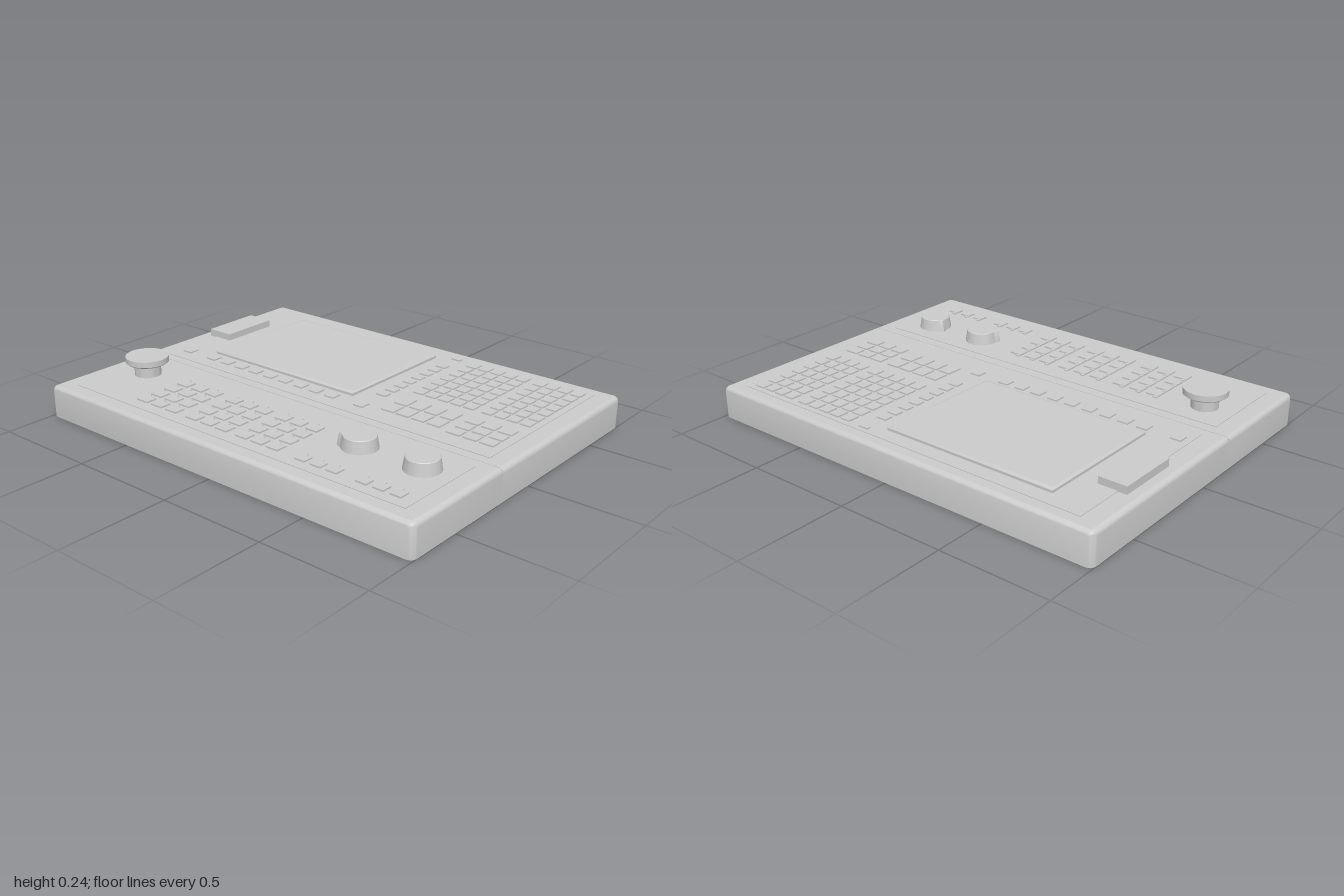
import * as THREE from 'three';
import { mergeGeometries, toCreasedNormals } from 'three/addons/utils/BufferGeometryUtils.js';

const MAT = new THREE.MeshStandardMaterial({ color: 0xcccccc });
const TOP = 0.145;    // housing top
const PLATE = 0.148;  // overlay plate top

function add(parent, name, geometry, x = 0, y = 0, z = 0) {
  const mesh = new THREE.Mesh(geometry, MAT);
  mesh.name = name;
  mesh.position.set(x, y, z);
  parent.add(mesh);
  return mesh;
}

// Box given by its limits
function slab(x0, x1, y0, y1, z0, z1) {
  return new THREE.BoxGeometry(x1 - x0, y1 - y0, z1 - z0)
    .translate((x0 + x1) / 2, (y0 + y1) / 2, (z0 + z1) / 2);
}

function triangles(points) {
  const g = new THREE.BufferGeometry();
  g.setAttribute('position', new THREE.Float32BufferAttribute(points.flat(), 3));
  g.computeVertexNormals();
  return g;
}

// Stack of equal-length outlines (clockwise from above), with smooth sides and flat ends
function loft(loops) {
  const n = loops[0].length, bottom = loops[0], top = loops[loops.length - 1];
  const sides = [], caps = [];
  for (let j = 0; j < loops.length - 1; j++) {
    for (let i = 0; i < n; i++) {
      const k = (i + 1) % n, lo = loops[j], hi = loops[j + 1];
      sides.push(lo[i], hi[i], lo[k], lo[k], hi[i], hi[k]);
    }
  }
  for (let i = 1; i < n - 1; i++) {
    caps.push(bottom[0], bottom[i], bottom[i + 1], top[0], top[i + 1], top[i]);
  }
  return mergeGeometries([toCreasedNormals(triangles(sides), 0.6), triangles(caps)]);
}

// Housing half: flat at the seam, rounded at the outer corners and top edge
function housing(seam, outer) {
  const s = Math.sign(outer - seam), r = 0.03, bevel = 0.022;
  const outline = (y, inset) => {
    const pts = [[-1 + inset, y, seam], [1 - inset, y, seam]];
    for (const side of [1, -1]) {
      for (let k = 0; k <= 5; k++) {
        const t = (k / 5) * Math.PI / 2, a = side > 0 ? t : Math.PI / 2 - t;
        const rr = r - inset;
        pts.push([side * (1 - r + rr * Math.cos(a)), y, outer + s * (-r + rr * Math.sin(a))]);
      }
    }
    return s > 0 ? pts : pts.reverse();
  };
  const loops = [outline(0, 0)];
  for (let k = 0; k <= 5; k++) {
    const a = (k / 5) * Math.PI / 2;
    loops.push(outline(TOP - bevel + bevel * Math.sin(a), bevel * (1 - Math.cos(a))));
  }
  return loft(loops);
}

// Grid of keys filling a rectangle; lamps puts a small indicator behind each key
function keys(x0, x1, z0, z1, cols, rows, gap = 0.014, lamps = false) {
  const px = (x1 - x0 + gap) / cols, pz = (z1 - z0 + gap) / rows, list = [];
  for (let i = 0; i < cols; i++) {
    for (let j = 0; j < rows; j++) {
      const x = x0 + i * px, z = z0 + j * pz;
      list.push(slab(x, x + px - gap, TOP, PLATE + 0.007, z, z + pz - gap));
      if (lamps) list.push(slab(x, x + 0.02, TOP, PLATE + 0.005, z - 0.014, z));
    }
  }
  return mergeGeometries(list);
}

// Tapered selector knob with a pointed nib on its rim
function knob(parent, name, x, z, angle) {
  const n = 64;
  const ring = (y, r) => Array.from({ length: n }, (_, i) => {
    const a = (i / n) * Math.PI * 2, off = Math.min(i, n - i);
    const rr = r * (1 + 0.22 * Math.max(0, 1 - off / 3));
    return [rr * Math.cos(a), y, rr * Math.sin(a)];
  });
  const body = loft([ring(0, 0.078), ring(0.055, 0.069), ring(0.058, 0.066)]);
  add(parent, name, body, x, TOP, z).rotation.y = angle;
}

export function createModel() {
  const root = new THREE.Group();
  root.name = 'controlPanel';

  // Two housing halves with a hairline seam
  add(root, 'displayHousing', housing(0.191, -0.762));
  add(root, 'operatorHousing', housing(0.194, 0.762));
  add(root, 'seamFiller', slab(-0.999, 0.99, 0.001, TOP - 0.004, 0.19, 0.195));

  // Thin overlay plates
  add(root, 'displayPlate', slab(-0.9, 0.91, TOP - 0.005, PLATE, -0.695, 0.145));
  add(root, 'operatorPlate', slab(-0.91, 0.91, TOP - 0.005, PLATE, 0.245, 0.685));

  // Screen with chamfered edge
  const rect = (y, i, k) => [
    [-0.725 + i, y, -0.625 + k], [0.113 - i, y, -0.625 + k],
    [0.113 - i, y, -k], [-0.725 + i, y, -k],
  ];
  add(root, 'screen', loft([rect(TOP, 0, 0), rect(0.159, 0, 0), rect(0.163, 0.014, 0.017)]));

  // Card slot cover
  add(root, 'cardSlotCover', slab(-0.94, -0.81, TOP - 0.005, 0.18, -0.46, -0.172));

  // Soft keys around the screen
  add(root, 'lowerSoftKeys', keys(-0.71, 0.07, 0.03, 0.08, 9, 1, 0.04));
  add(root, 'leftMenuKey', keys(-0.87, -0.82, 0.03, 0.08, 1, 1));
  add(root, 'rightMenuKey', keys(0.18, 0.23, 0.03, 0.08, 1, 1));
  add(root, 'sideSoftKeys', keys(0.18, 0.23, -0.57, -0.08, 1, 8, 0.022));
  add(root, 'statusBar', keys(0.18, 0.23, -0.675, -0.655, 1, 1));

  // Keyboard blocks right of the screen
  add(root, 'letterKeys', keys(0.29, 0.605, -0.67, -0.2, 5, 7));
  add(root, 'numberKeys', keys(0.645, 0.88, -0.67, -0.2, 4, 7));
  add(root, 'editKeys', keys(0.3, 0.6, -0.13, 0.04, 4, 2));
  add(root, 'cursorKeys', keys(0.645, 0.87, -0.13, 0.06, 3, 3));

  // Machine keys with indicators on the operator section
  add(root, 'modeKeys', keys(-0.57, -0.33, 0.345, 0.63, 3, 4, 0.024, true));
  add(root, 'functionKeys', keys(-0.27, -0.03, 0.345, 0.63, 3, 4, 0.024, true));
  add(root, 'axisKeys', keys(0.02, 0.25, 0.345, 0.63, 3, 4, 0.024, true));

  // Start and stop keys in front of the knobs
  for (const x of [0.345, 0.645]) {
    add(root, 'cycleKeys', keys(x, x + 0.21, 0.59, 0.638, 3, 1, 0.028, true));
  }

  // Selector knobs
  knob(root, 'feedKnob', 0.468, 0.39, Math.PI + 0.42);
  knob(root, 'spindleKnob', 0.77, 0.39, Math.PI - 0.38);

  // Mushroom stop button
  const mushroom = [[0, 0], [0.06, 0], [0.06, 0.058], [0.09, 0.06], [0.098, 0.066],
    [0.098, 0.092], [0, 0.092]].map(p => new THREE.Vector2(...p));
  add(root, 'stopButton', toCreasedNormals(new THREE.LatheGeometry(mushroom, 40), 0.5),
    -0.772, TOP, 0.39);

  return root;
}
